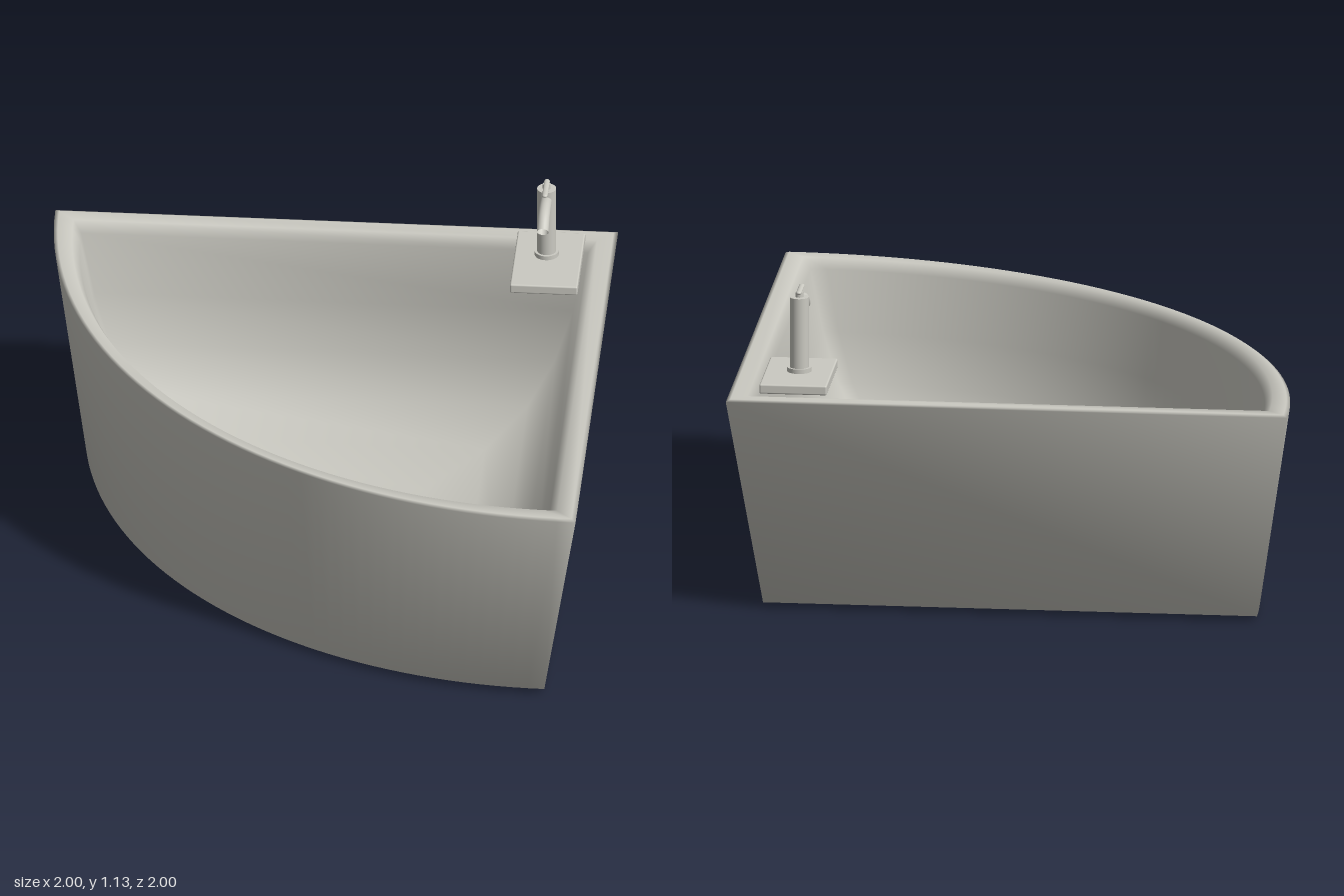
import * as THREE from 'three';
import { RoundedBoxGeometry } from 'three/addons/geometries/RoundedBoxGeometry.js';

const ceramic = new THREE.MeshStandardMaterial({ color: 0xcbcac2 });
ceramic.name = 'warm white';
ceramic.side = THREE.DoubleSide;

// Plan outline: two straight wall edges and a quarter-circle front
function outline(arcSteps) {
  const points = [[-1, -1], [1, -1]];
  for (let i = 0; i < arcSteps; i++) {
    const a = (i / arcSteps) * Math.PI / 2;
    points.push([1 - 2 * Math.sin(a), -1 + 2 * Math.cos(a)]);
  }
  return points;
}

// Closed shell: the outline scaled along a [scale, height] profile
function tubGeometry() {
  const plan = outline(48);
  const profile = [
    [0.08, 0.02], [0.88, 0.02],                                  // underside
    [1, 0.785], [0.985, 0.792], [0.93, 0.79], [0.9, 0.755],      // outer wall and rim
    [0.85, 0.54], [0.79, 0.37], [0.7, 0.23], [0.56, 0.13],       // basin
    [0.36, 0.075], [0.08, 0.04],
  ];
  const n = plan.length;
  const positions = [];
  const index = [];
  for (const [s, y] of profile) {
    for (const [x, z] of plan) positions.push(x * s, y, z * s);
  }
  for (let r = 0; r < profile.length; r++) {
    const r1 = (r + 1) % profile.length;
    for (let i = 0; i < n; i++) {
      const j = (i + 1) % n;
      const a0 = r * n + i, b0 = r * n + j, a1 = r1 * n + i, b1 = r1 * n + j;
      if (i === 1) index.push(a0, a1, b0, a1, b1, b0);
      else index.push(a0, a1, b1, a0, b1, b0);
    }
  }
  const g = new THREE.BufferGeometry();
  g.setAttribute('position', new THREE.Float32BufferAttribute(positions, 3));
  g.setIndex(index);
  g.computeVertexNormals();
  return g;
}

function add(parent, name, geometry, x = 0, y = 0, z = 0) {
  const mesh = new THREE.Mesh(geometry, ceramic);
  mesh.name = name;
  mesh.position.set(x, y, z);
  parent.add(mesh);
  return mesh;
}

function cylinder(radius, height) {
  return new THREE.CylinderGeometry(radius, radius, height, 32);
}

function createFaucet() {
  const faucet = new THREE.Group();
  faucet.name = 'faucet';
  faucet.position.set(0.765, 0, -0.745);

  add(faucet, 'faucetPlate', new RoundedBoxGeometry(0.24, 0.035, 0.375, 2, 0.006), 0.005, 0.812, 0.02);
  add(faucet, 'faucetFlange', cylinder(0.043, 0.016), 0, 0.845, 0);
  add(faucet, 'faucetBody', cylinder(0.034, 0.275), 0, 0.972, 0);

  // Downward curving spout with an open mouth
  const path = new THREE.CatmullRomCurve3([
    new THREE.Vector3(0, 1.07, 0.02),
    new THREE.Vector3(0, 1.075, 0.08),
    new THREE.Vector3(0, 1.068, 0.13),
    new THREE.Vector3(0, 1.038, 0.183),
  ]);
  add(faucet, 'spout', new THREE.TubeGeometry(path, 20, 0.021, 20));

  // Lever on a short stem
  add(faucet, 'leverStem', cylinder(0.014, 0.02), 0, 1.117, 0);
  const lever = add(faucet, 'lever', new THREE.CapsuleGeometry(0.01, 0.1, 6, 16), 0, 1.128, 0.032);
  lever.rotation.x = Math.PI / 2;
  lever.scale.z = 0.65;
  return faucet;
}

function createDrain() {
  const drain = new THREE.Group();
  drain.name = 'drain';
  const ring = [[0.03, 0], [0.036, 0], [0.036, 0.025], [0.044, 0.025],
    [0.044, 0.032], [0.03, 0.032], [0.03, 0]].map(([r, y]) => new THREE.Vector2(r, y));
  const g = new THREE.LatheGeometry(ring, 32).toNonIndexed();
  g.computeVertexNormals();
  add(drain, 'drainRing', g);
  add(drain, 'drainBar', new THREE.BoxGeometry(0.064, 0.006, 0.004), 0, 0.022, 0);
  return drain;
}

export function createModel() {
  const model = new THREE.Group();
  model.name = 'cornerBathtub';
  add(model, 'tub', tubGeometry());
  model.add(createFaucet(), createDrain());
  return model;
}
